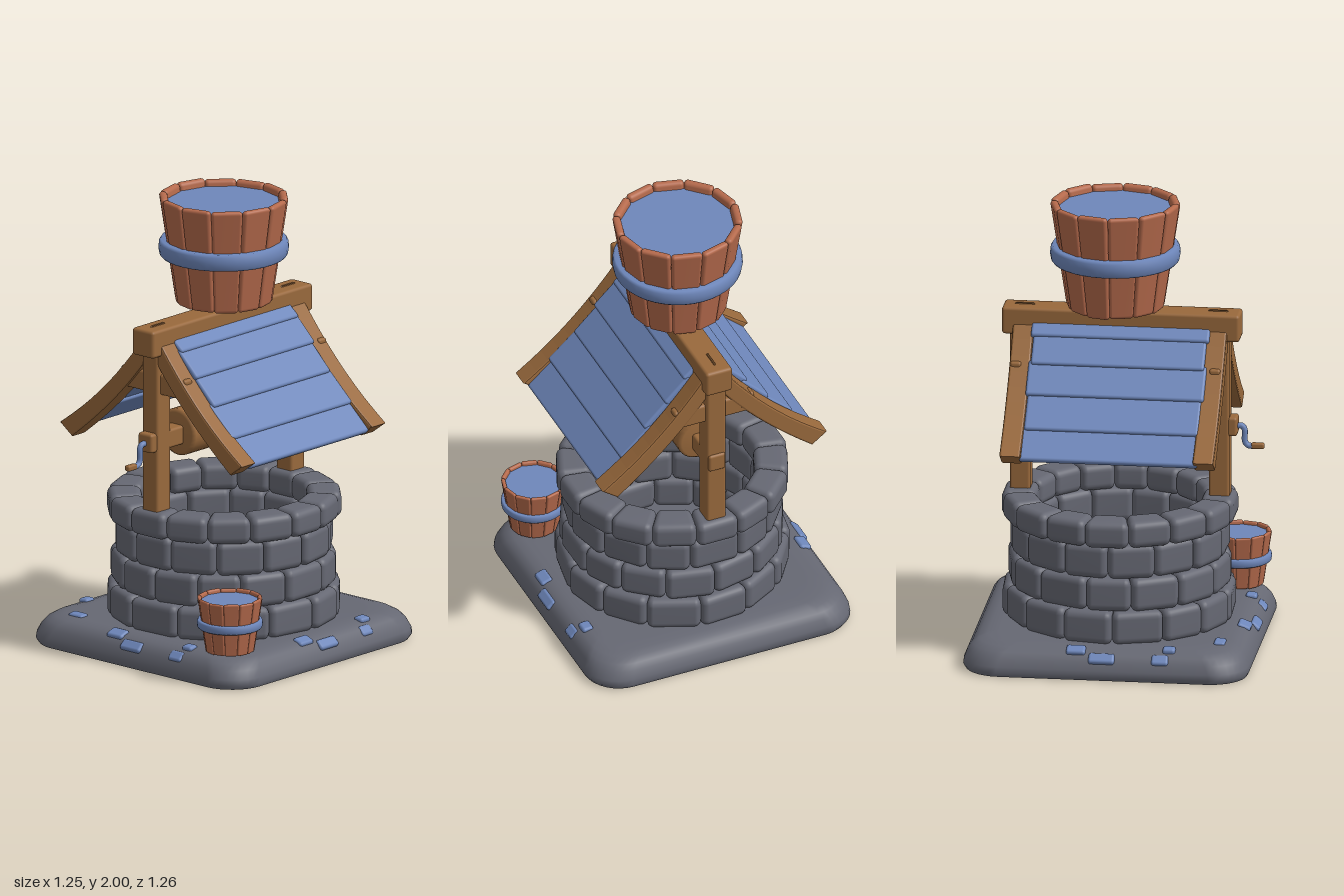
import * as THREE from 'three';
import { RoundedBoxGeometry } from 'three/addons/geometries/RoundedBoxGeometry.js';
import { mergeGeometries, mergeVertices } from 'three/addons/utils/BufferGeometryUtils.js';

const material = (name, color) => {
  const m = new THREE.MeshStandardMaterial({ color });
  m.name = name;
  return m;
};

export function createModel() {
  const stone = material('grey stone', 0x666873);
  const blue = material('slate blue', 0x6e87bb);
  const wood = material('timber', 0x99693c);
  const redWood = material('bucket wood', 0xb56a4c);
  const model = new THREE.Group();
  model.name = 'wishingWell';

  let seed = 7;
  const jitter = (a) => {
    seed = (seed * 16807) % 2147483647;
    return (seed / 2147483647 - 0.5) * 2 * a;
  };
  const add = (name, geometry, mat, x = 0, y = 0, z = 0, parent = model) => {
    const mesh = new THREE.Mesh(geometry, mat);
    mesh.name = name;
    mesh.position.set(x, y, z);
    parent.add(mesh);
    return mesh;
  };
  const box = (w, h, d, r = 0.012) => new RoundedBoxGeometry(w, h, d, 2, r);

  // Rounded block bent around the y axis; its outer radius may vary with height
  const bentBlock = (arc, height, depth, round, radiusAt, angle, y) => {
    const r = radiusAt(y);
    const g = new RoundedBoxGeometry(arc * r, height, depth, 3, round);
    const p = g.attributes.position;
    for (let i = 0; i < p.count; i++) {
      const a = angle + p.getX(i) / r;
      const py = y + p.getY(i);
      const rho = radiusAt(py) + p.getZ(i) - depth / 2;
      p.setXYZ(i, rho * Math.sin(a), py, rho * Math.cos(a));
    }
    g.deleteAttribute('normal');
    g.deleteAttribute('uv');
    const smooth = mergeVertices(g, 1e-4);
    smooth.computeVertexNormals();
    return smooth;
  };

  // Base slab: rounded squares [half size, height] stacked from bottom to top
  const slab = [[0.01, 0], [0.615, 0], [0.615, 0], [0.625, 0.02], [0.622, 0.045], [0.608, 0.08],
    [0.59, 0.105], [0.565, 0.122], [0.53, 0.131], [0.48, 0.133], [0.01, 0.133]];
  const points = [], index = [], n = 36;
  slab.forEach(([s, y], k) => {
    const r = Math.min(0.16, s);
    for (let i = 0; i < n; i++) {
      const c = Math.floor(i / 9);
      const a = (c + (i % 9) / 8) * Math.PI / 2;
      const sx = c === 0 || c === 3 ? 1 : -1, sz = c < 2 ? 1 : -1;
      points.push(sx * (s - r) + r * Math.cos(a), y, sz * (s - r) + r * Math.sin(a));
      if (k && k !== 2) {
        const b = (k - 1) * n, j = (i + 1) % n;
        index.push(b + i, b + n + i, b + j, b + j, b + n + i, b + n + j);
      }
    }
  });
  const base = new THREE.BufferGeometry();
  base.setAttribute('position', new THREE.Float32BufferAttribute(points, 3));
  base.setIndex(index);
  base.computeVertexNormals();
  add('baseSlab', base, stone);

  // Pebbles set into the slab: x, z, width, depth
  [[-0.565, -0.12, 0.055, 0.085], [-0.595, -0.005, 0.05, 0.115], [-0.59, 0.25, 0.05, 0.075],
    [-0.545, 0.285, 0.05, 0.055], [-0.41, 0.49, 0.08, 0.05], [-0.115, 0.56, 0.09, 0.06],
    [0, 0.595, 0.115, 0.05], [0.255, 0.588, 0.075, 0.05], [0.285, 0.54, 0.055, 0.05],
    [0.54, -0.295, 0.05, 0.06], [0.588, -0.26, 0.05, 0.07], [0.595, -0.005, 0.05, 0.115],
    [0.56, 0.11, 0.055, 0.085]].forEach(([x, z, w, d]) => {
    const edge = Math.max(Math.abs(x), Math.abs(z));
    const tilt = edge > 0.58 ? 0.75 : edge > 0.555 ? 0.35 : 0.08;
    const y = edge > 0.58 ? 0.092 : edge > 0.555 ? 0.118 : 0.127;
    const pebble = add('pebble', box(w, 0.03, d, 0.012), blue, x, y, z);
    if (Math.abs(x) > Math.abs(z)) pebble.rotation.z = -Math.sign(x) * tilt;
    else pebble.rotation.x = Math.sign(z) * tilt;
  });

  // Stone courses: bottom, top, outer radius, depth, count, angular offset
  [[0.125, 0.275, 0.508, 0.14, 14, 0.1], [0.27, 0.42, 0.49, 0.125, 14, 0.5],
    [0.415, 0.57, 0.478, 0.115, 14, 0], [0.563, 0.682, 0.51, 0.15, 16, 0]]
    .forEach(([y0, y1, r, depth, count, offset]) => {
      const step = Math.PI * 2 / count;
      const cuts = Array.from({ length: count }, () => jitter(count === 16 ? 0.01 : 0.04));
      const stones = cuts.map((c, i) => {
        const a = (i + offset - 0.5) * step + c;
        const b = (i + offset + 0.5) * step + cuts[(i + 1) % count];
        const out = r + jitter(0.006);
        return bentBlock(b - a + 0.006, y1 - y0, depth, 0.034, () => out, (a + b) / 2, (y0 + y1) / 2);
      });
      add('stoneCourse', mergeGeometries(stones), stone);
    });

  // Posts, cross braces and ridge beam
  for (const z of [0.438, -0.433]) {
    add('post', box(0.09, 0.78, 0.09), wood, 0, 1.05, z);
    add('crossBrace', box(0.38, 0.092, 0.05), wood, 0, 1.253, z);
  }
  add('ridgeBeam', box(0.125, 0.122, 1.04, 0.014), wood, 0, 1.446, 0.01);

  // Curved rafters
  for (const s of [1, -1]) {
    const shape = new THREE.Shape();
    shape.moveTo(0, 1.5);
    shape.quadraticCurveTo(s * 0.24, 1.165, s * 0.52, 0.978);
    shape.lineTo(s * 0.462, 0.937);
    shape.quadraticCurveTo(s * 0.18, 1.155, 0, 1.405);
    shape.closePath();
    const rafter = new THREE.ExtrudeGeometry(shape, {
      depth: 0.074, curveSegments: 10, bevelThickness: 0.009, bevelSize: 0.009, bevelSegments: 2,
    });
    for (const z of [0.43, -0.415]) add('rafter', rafter, wood, 0, 0, z - 0.037);
  }

  // Overlapping roof planks between the rafters
  const slope = [[0.01, 1.47], [0.09, 1.395], [0.178, 1.295], [0.275, 1.184], [0.39, 1.062], [0.492, 0.955]];
  for (const s of [1, -1]) {
    for (let i = 0; i < slope.length - 1; i++) {
      const [x0, y0] = slope[i], [x1, y1] = slope[i + 1];
      const length = Math.hypot(x1 - x0, y1 - y0) + 0.025;
      const plank = add('roofPlank', box(length, 0.03, 0.77 + jitter(0.012)), blue,
        s * (x0 + x1) / 2, (y0 + y1) / 2, 0.0125);
      plank.rotation.z = s * (Math.atan2(y1 - y0, x1 - x0) + 0.08);
    }
  }

  // Winding drum on a square axle
  const drum = new THREE.LatheGeometry(
    [[0, -0.31], [0.09, -0.31], [0.105, -0.295], [0.105, 0.295], [0.09, 0.31], [0, 0.31]]
      .map(([x, y]) => new THREE.Vector2(x, y)), 28);
  add('windingDrum', drum, wood, 0, 0.998, 0).rotation.x = Math.PI / 2;
  add('axle', box(0.08, 0.085, 1.005), wood, 0, 0.993, 0.014);

  // Crank with a wooden grip
  const crankPath = new THREE.CatmullRomCurve3(
    [[0.99, 0.5], [0.99, 0.535], [0.975, 0.545], [0.92, 0.547], [0.903, 0.56], [0.9, 0.59]]
      .map(([y, z]) => new THREE.Vector3(0, y, z)));
  add('crank', new THREE.TubeGeometry(crankPath, 24, 0.013, 10), blue);
  add('crankGrip', box(0.028, 0.026, 0.058, 0.008), wood, 0, 0.902, 0.603);

  // Buckets: twelve tapered staves, a hoop, a floor and water
  const bucket = (name, x, y, z, scale) => {
    const group = new THREE.Group();
    group.name = name;
    group.position.set(x, y, z);
    group.scale.setScalar(scale);
    model.add(group);
    const radiusAt = (h) => 0.211 + 0.074 * h / 0.485;
    const step = Math.PI / 6;
    const staves = [];
    for (let i = 0; i < 12; i++) {
      const top = 0.481 + jitter(0.004), bottom = 0.003 + jitter(0.003);
      staves.push(bentBlock(step * 0.995, top - bottom, 0.036, 0.016, radiusAt, (i + 0.5) * step, (top + bottom) / 2));
    }
    add('staves', mergeGeometries(staves), redWood, 0, 0, 0, group);
    const hoop = [[0.235, 0.212], [0.27, 0.212], [0.279, 0.222], [0.284, 0.25], [0.281, 0.275],
      [0.273, 0.287], [0.235, 0.287]].map(([r, h]) => new THREE.Vector2(r, h));
    add('hoop', new THREE.LatheGeometry(hoop, 40), blue, 0, 0, 0, group);
    add('bucketFloor', new THREE.CylinderGeometry(0.198, 0.195, 0.03, 32), redWood, 0, 0.025, 0, group);
    add('water', new THREE.CylinderGeometry(0.252, 0.25, 0.012, 36), blue, 0, 0.445, 0, group);
  };
  bucket('largeBucket', -0.018, 1.515, -0.018, 1);
  bucket('smallBucket', 0.45, 0.132, 0.463, 0.505);

  return model;
}
